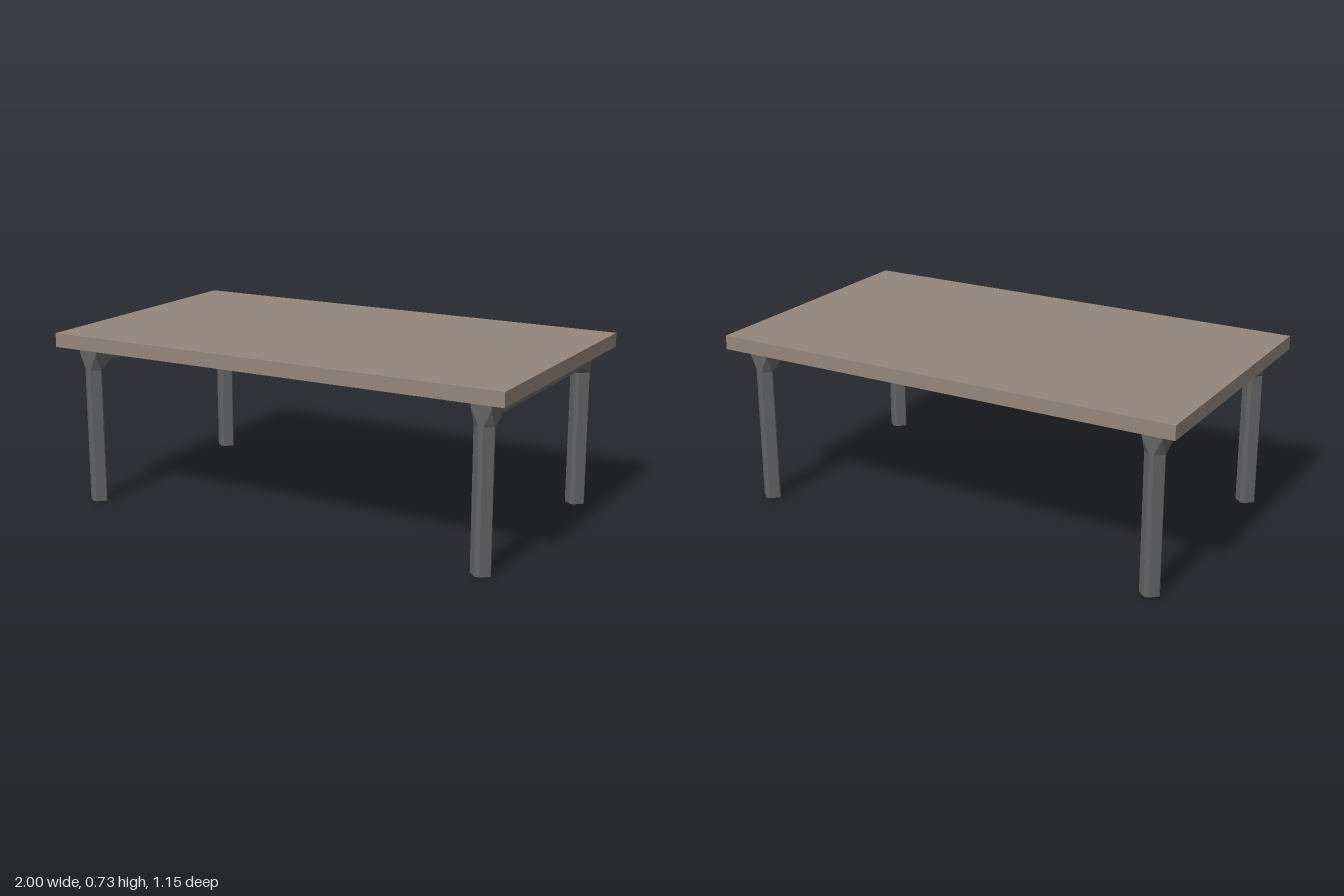
import * as THREE from 'three';
import { ConvexGeometry } from 'three/addons/geometries/ConvexGeometry.js';

const TOP = 0.725, UNDER = 0.667;          // table top heights
const LEG_TOP = 0.568, RAIL_LOW = 0.603;   // leg and rail heights
const LEG_X = 0.885, LEG_Z = 0.482;        // leg centres
const HALF_X = 0.0415, HALF_Z = 0.0325;    // half size of a leg

// Diamond with its four points cut off
function legSection() {
  const a = 0.009, b = 0.003;
  return [[a, HALF_Z], [HALF_X, b], [HALF_X, -b], [a, -HALF_Z],
    [-a, -HALF_Z], [-HALF_X, -b], [-HALF_X, b], [-a, HALF_Z]];
}

function addMesh(parent, name, geometry, material) {
  const mesh = new THREE.Mesh(geometry, material);
  mesh.name = name;
  parent.add(mesh);
  return mesh;
}

export function createModel() {
  const group = new THREE.Group();
  group.name = 'table';
  const wood = new THREE.MeshStandardMaterial({ color: 0x93857b, flatShading: true });
  const metal = new THREE.MeshStandardMaterial({ color: 0x626262, flatShading: true });

  // Table top
  const slab = new THREE.BoxGeometry(2, TOP - UNDER, 1.15);
  addMesh(group, 'tableTop', slab, wood).position.y = (TOP + UNDER) / 2;

  // Straight leg
  const section = legSection();
  const legGeometry = new THREE.ExtrudeGeometry(
    new THREE.Shape(section.map(([x, z]) => new THREE.Vector2(x, -z))),
    { depth: LEG_TOP, bevelEnabled: false });
  legGeometry.rotateX(-Math.PI / 2);

  // Faceted joint from the diamond leg to the square rail; its inner side is -z
  const joint = section.map(([x, z]) => new THREE.Vector3(x, LEG_TOP, z));
  const innerZ = -0.067;
  for (const x of [-HALF_X, HALF_X]) {
    for (const [y, z] of [[0.638, HALF_Z], [UNDER, HALF_Z], [RAIL_LOW, innerZ], [UNDER, innerZ]]) {
      joint.push(new THREE.Vector3(x, y, z));
    }
  }
  const jointGeometry = new ConvexGeometry(joint);

  // Rail between the joints
  const railGeometry = new THREE.BoxGeometry(2 * HALF_X, UNDER - RAIL_LOW, 2 * (LEG_Z + innerZ));

  // One leg frame at each end
  for (const [side, sx] of [['left', 1], ['right', -1]]) {
    const frame = new THREE.Group();
    frame.name = side + 'LegFrame';
    frame.position.x = sx * LEG_X;
    group.add(frame);
    addMesh(frame, side + 'Rail', railGeometry, metal).position.y = (UNDER + RAIL_LOW) / 2;
    for (const [end, sz] of [['Front', 1], ['Back', -1]]) {
      const corner = new THREE.Group();
      corner.name = side + end + 'Corner';
      corner.position.z = sz * LEG_Z;
      corner.rotation.y = sz > 0 ? 0 : Math.PI;
      addMesh(corner, side + end + 'Leg', legGeometry, metal);
      addMesh(corner, side + end + 'Joint', jointGeometry, metal);
      frame.add(corner);
    }
  }
  return group;
}
